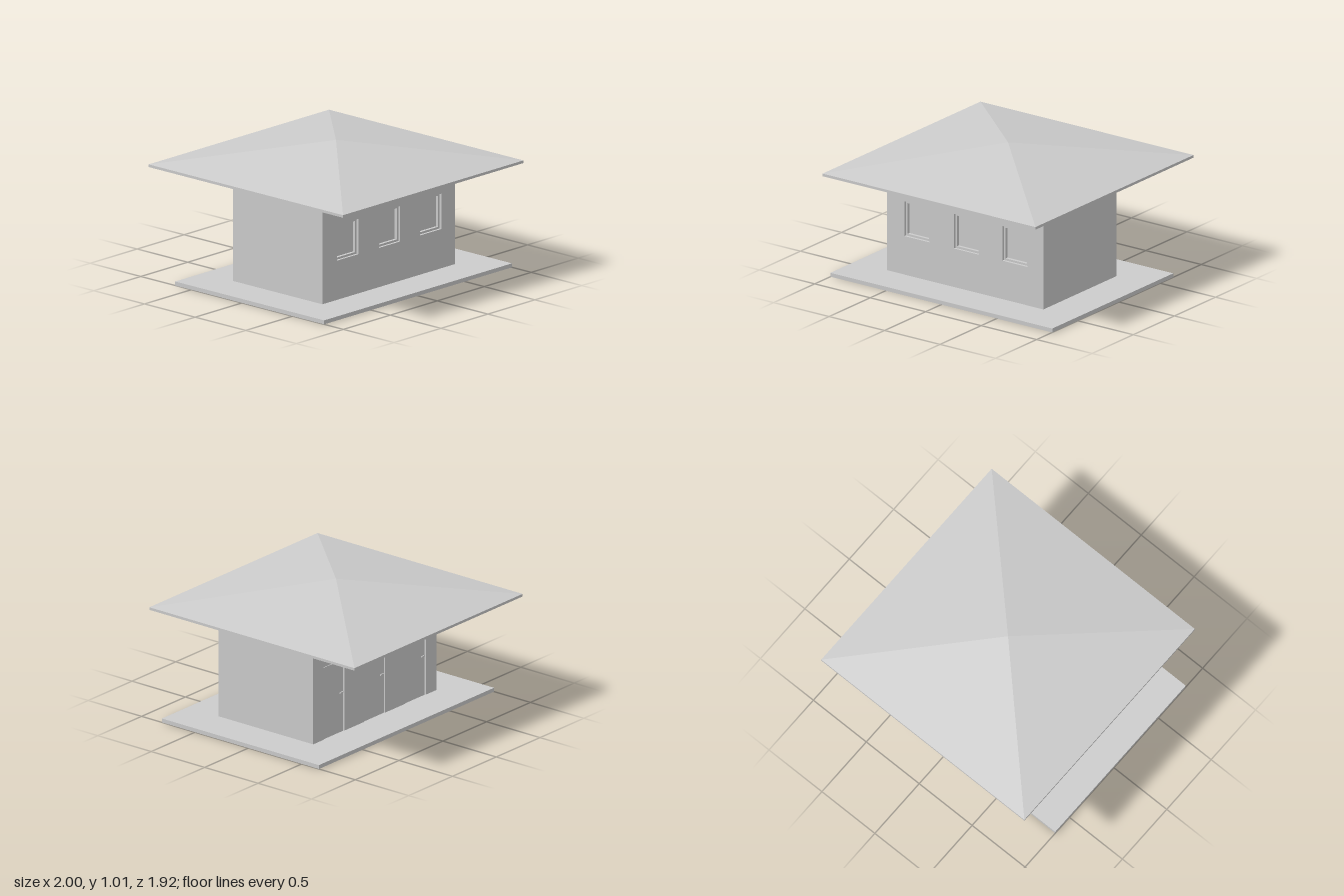
import * as THREE from 'three';

const stone = new THREE.MeshStandardMaterial({ color: 0xcccccc });
stone.name = 'pale grey';

const HALF_W = 0.705, WALL_TOP = 0.828, FLOOR = 0.03;
const FRONT = 0.52, BACK = -0.365;
const EAVE = 0.96, EAVE_LOW = 0.825, EAVE_HIGH = 0.845, RISE = 0.17;

function add(parent, name, geometry, x = 0, y = 0, z = 0) {
  const mesh = new THREE.Mesh(geometry, stone);
  mesh.name = name;
  mesh.position.set(x, y, z);
  parent.add(mesh);
  return mesh;
}

// Box given by its limits on each axis
function addBox(parent, name, [x0, x1], [y0, y1], [z0, z1]) {
  return add(parent, name, new THREE.BoxGeometry(x1 - x0, y1 - y0, z1 - z0),
    (x0 + x1) / 2, (y0 + y1) / 2, (z0 + z1) / 2);
}

function rectangle(Type, x0, x1, y0, y1) {
  return new Type([[x0, y0], [x1, y0], [x1, y1], [x0, y1]].map(p => new THREE.Vector2(...p)));
}

// Flat rectangular sheet with rectangular openings
function sheet(outer, openings, depth) {
  const shape = rectangle(THREE.Shape, ...outer);
  shape.holes = openings.map(o => rectangle(THREE.Path, ...o));
  return new THREE.ExtrudeGeometry(shape, { depth, bevelEnabled: false });
}

// Four flat faces of a square pyramid; inward turns them to face below
function pyramid(half, height, inward) {
  let g = new THREE.ConeGeometry(half * Math.SQRT2, height, 4, 1, true);
  g.rotateY(Math.PI / 4);
  if (inward) g.index.array.reverse();
  g = g.toNonIndexed();
  g.computeVertexNormals();
  return g;
}

export function createModel() {
  const model = new THREE.Group();
  model.name = 'pavilion';

  addBox(model, 'floorSlab', [-1, 1], [0, FLOOR], [-0.66, 0.81]);

  // Walls: a solid core faced with pierced front and back sheets
  const windowDepth = 0.04, doorDepth = 0.012;
  const windows = [-0.435, 0.01, 0.448].map(x => [x - 0.113, x + 0.113, 0.326, 0.593]);
  const doors = [0.47, 0.005, -0.46].map(x => [x - 0.12, x + 0.12, FLOOR, 0.593]);
  const wall = [-HALF_W, HALF_W, 0.01, WALL_TOP];
  addBox(model, 'wallCore', [-HALF_W, HALF_W], [0.01, WALL_TOP],
    [BACK + doorDepth, FRONT - windowDepth]);
  add(model, 'frontWall', sheet(wall, windows, windowDepth), 0, 0, FRONT - windowDepth);
  add(model, 'backWall', sheet(wall, doors, doorDepth), 0, 0, BACK);

  // Window frames set back in their openings
  for (const w of windows) {
    const [x0, x1, y0, y1] = w, t = 0.016;
    const inner = [x0 + t, x1 - t, y0 + t, y1 - t];
    add(model, 'windowFrame', sheet(w, [inner], 0.022), 0, 0, FRONT - windowDepth);
  }

  // Door leaves with a small gap around them, and lever handles
  for (const [x0, x1, y0, y1] of doors) {
    addBox(model, 'doorLeaf', [x0 + 0.008, x1 - 0.008], [y0, y1 - 0.008],
      [BACK + 0.006, BACK + 0.02]);
    addBox(model, 'doorHandle', [x0 + 0.015, x0 + 0.05], [0.33, 0.34],
      [BACK - 0.003, BACK + 0.01]);
  }

  // Hollow hipped roof with a thin eave
  const roof = new THREE.Group();
  roof.name = 'roof';
  model.add(roof);
  add(roof, 'roofTop', pyramid(EAVE, RISE, false), 0, EAVE_HIGH + RISE / 2, 0);
  add(roof, 'roofUnderside', pyramid(EAVE, RISE, true), 0, EAVE_LOW + RISE / 2, 0);
  let edge = new THREE.CylinderGeometry(EAVE * Math.SQRT2, EAVE * Math.SQRT2,
    EAVE_HIGH - EAVE_LOW, 4, 1, true).rotateY(Math.PI / 4).toNonIndexed();
  edge.computeVertexNormals();
  add(roof, 'eaveEdge', edge, 0, (EAVE_LOW + EAVE_HIGH) / 2, 0);

  return model;
}
